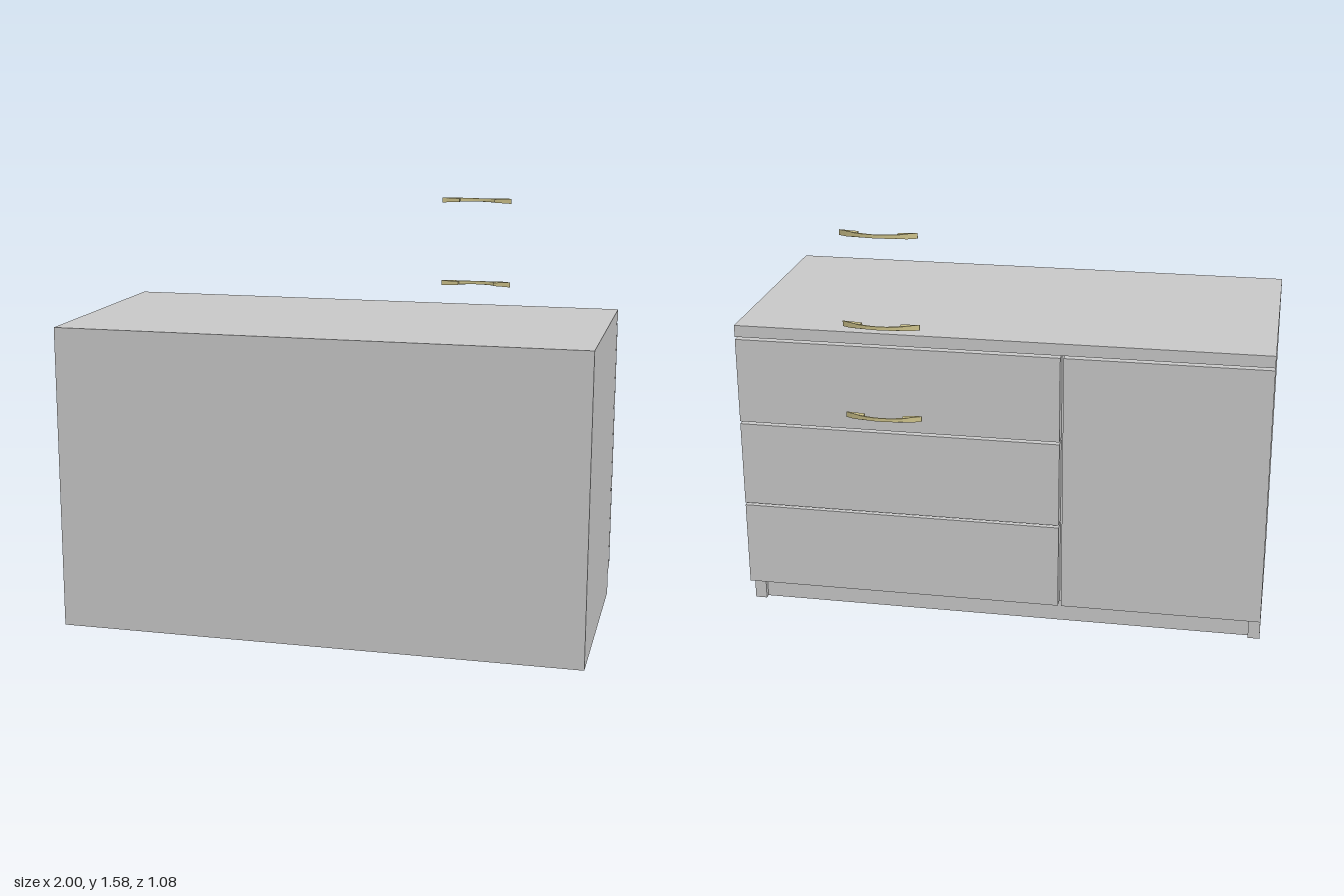
import * as THREE from 'three';

const grey = new THREE.MeshStandardMaterial({ color: 0xcccccc });
const brass = new THREE.MeshStandardMaterial({ color: 0xcfc48c, side: THREE.DoubleSide });

// Box given by its minimum and maximum on each axis
function panel(name, [x0, x1], [y0, y1], [z0, z1]) {
  const mesh = new THREE.Mesh(new THREE.BoxGeometry(x1 - x0, y1 - y0, z1 - z0), grey);
  mesh.position.set((x0 + x1) / 2, (y0 + y1) / 2, (z0 + z1) / 2);
  mesh.name = name;
  return mesh;
}

// Bow handle: shallow arc with a solid foot at each end, slimmer in the middle
function handleGeometry() {
  const half = 0.142, rise = 0.035, foot = 0.072, thick = 0.005;
  const arc = x => rise * (1 - (x / half) ** 2);
  const steps = 24;
  const points = [];
  for (let i = 0; i <= steps; i++) {
    const x = half - (2 * half * i) / steps;
    points.push(new THREE.Vector2(x, arc(x) + 0.003));
  }
  points.push(new THREE.Vector2(-half, 0), new THREE.Vector2(-foot, 0));
  for (let i = 0; i <= 12; i++) {
    const x = -foot + (2 * foot * i) / 12;
    points.push(new THREE.Vector2(x, arc(x) + 0.003 - thick));
  }
  points.push(new THREE.Vector2(foot, 0), new THREE.Vector2(half, 0));
  const geo = new THREE.ExtrudeGeometry(new THREE.Shape(points), { depth: 0.02, bevelEnabled: false });
  geo.translate(0, 0, -0.01);
  geo.rotateX(-Math.PI / 2);
  // Narrow the grip between the ends
  const pos = geo.attributes.position;
  for (let i = 0; i < pos.count; i++) {
    const t = THREE.MathUtils.smoothstep(Math.abs(pos.getX(i)), 0.07, 0.11);
    pos.setY(i, pos.getY(i) * (0.65 + 0.35 * t));
  }
  geo.computeVertexNormals();
  return geo;
}

export function createModel() {
  const group = new THREE.Group();
  group.name = 'cabinet';
  const t = 0.045, inner = 1 - t, top = 1.12, front = 0.537, back = -0.347;
  const split = -0.235;

  // Carcass
  group.add(panel('worktop', [-1, 1], [top, 1.165], [-0.4, front]));
  group.add(panel('sidePanelLeft', [inner, 1], [0, top], [back, front]));
  group.add(panel('sidePanelRight', [-1, -inner], [0, top], [back, front]));
  group.add(panel('frontPanel', [-inner, inner], [0, top], [front - t, front]));
  group.add(panel('bottomPanel', [-inner, inner], [0.095, 0.095 + t], [back, front - t]));
  group.add(panel('kickBoard', [-inner, inner], [0, 0.095], [back + 0.02, back + 0.02 + t]));
  group.add(panel('divider', [split - t / 2, split + t / 2], [0.14, top], [back, front - t]));

  // Drawer fronts and door
  for (let i = 0; i < 3; i++) {
    const y = 0.1 + i * 0.34;
    group.add(panel('drawerFront' + (i + 1), [split + 0.006, 1], [y, y + 0.33], [-0.4, back - 0.003]));
  }
  group.add(panel('door', [-1, split - 0.006], [0.1, 1.11], [-0.4, back - 0.003]));

  // Handles
  const geo = handleGeometry();
  [0.88, 1.233, 1.573].forEach((y, i) => {
    const handle = new THREE.Mesh(geo, brass);
    handle.name = 'handle' + (i + 1);
    handle.position.set(0.408, y, -0.5);
    group.add(handle);
  });
  return group;
}
